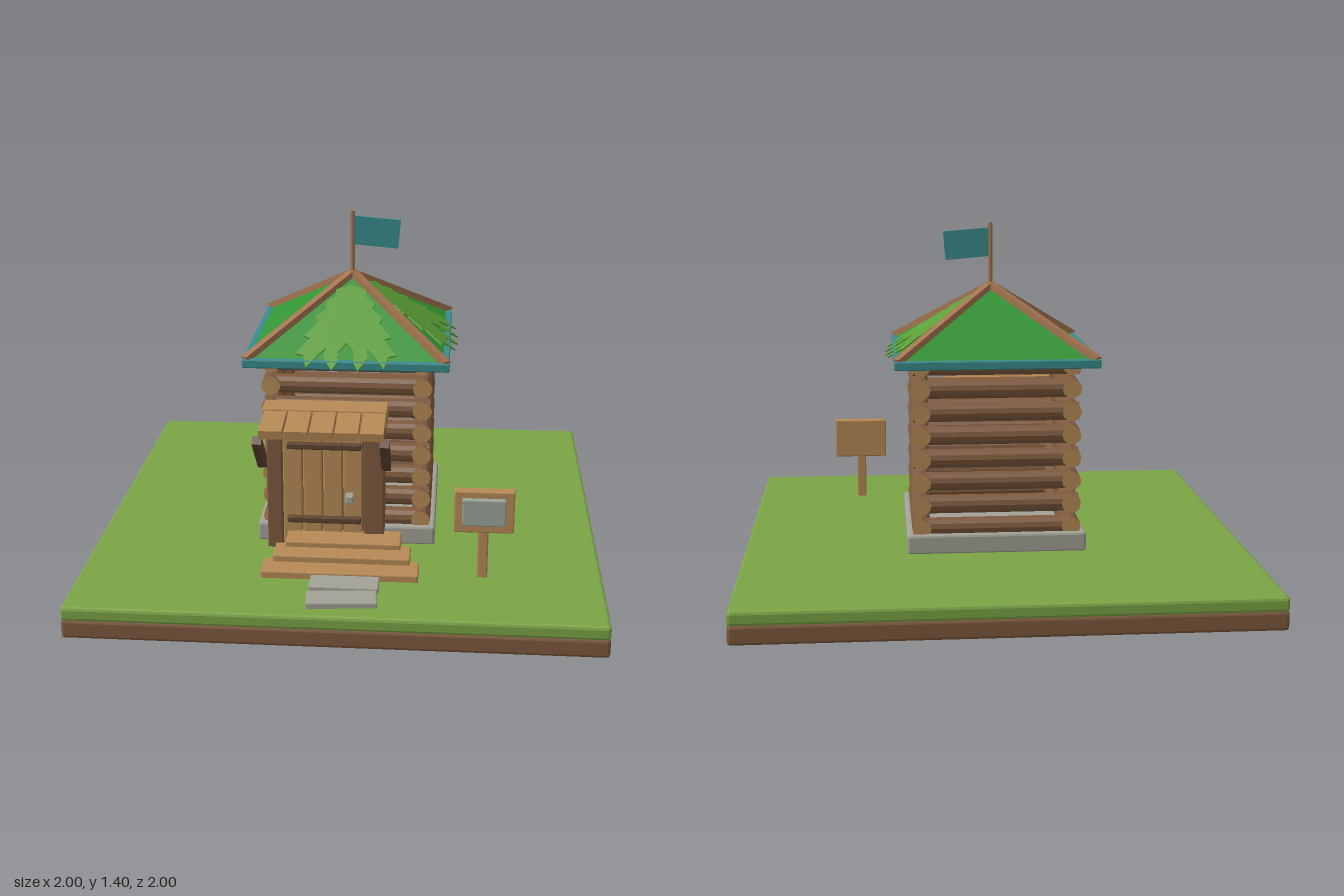
import * as THREE from 'three';
import { RoundedBoxGeometry } from 'three/addons/geometries/RoundedBoxGeometry.js';

const mat = (name, color, extra = {}) => Object.assign(
  new THREE.MeshStandardMaterial({ color, flatShading: true, ...extra }), { name });

export function createModel() {
  const M = {
    grass: mat('grass', 0x7ba445),
    bark: mat('bark brown', 0x7e5a3e),
    dark: mat('dark wood', 0x5f4330),
    tan: mat('tan plank', 0xb78a56),
    rafter: mat('rafter wood', 0xa37550),
    stone: mat('stone', 0xa2a196),
    roof: mat('roof green', 0x339433),
    leaf: mat('leaf green', 0x5c9f36),
    teal: mat('teal', 0x3a8c8c),
    metal: mat('pale grey', 0x9ba49a),
  };
  const model = new THREE.Group();
  model.name = 'logCabin';

  const add = (name, geo, material, parent = model) => {
    const m = new THREE.Mesh(geo, material);
    m.name = name;
    parent.add(m);
    return m;
  };
  const group = (name) => {
    const g = new THREE.Group();
    g.name = name;
    model.add(g);
    return g;
  };
  // Lightly bevelled box given by its min and max on each axis
  const box = (name, material, [x0, x1], [y0, y1], [z0, z1], parent, bevel = 0.005) => {
    const r = Math.min(bevel, (x1 - x0) / 4, (y1 - y0) / 4, (z1 - z0) / 4);
    const m = add(name, new RoundedBoxGeometry(x1 - x0, y1 - y0, z1 - z0, 1, r), material, parent);
    m.position.set((x0 + x1) / 2, (y0 + y1) / 2, (z0 + z1) / 2);
    return m;
  };
  // Square beam between two points
  const beam = (name, material, a, b, w, h, parent) => {
    const A = new THREE.Vector3(...a), B = new THREE.Vector3(...b);
    const m = add(name, new THREE.BoxGeometry(w, h, A.distanceTo(B)), material, parent);
    m.position.copy(A).lerp(B, 0.5);
    m.lookAt(B);
    return m;
  };

  // Ground
  box('earthSlab', M.bark, [-1, 1], [0, 0.075], [-1, 1], model, 0.012);
  box('grassSlab', M.grass, [-1, 1], [0.07, 0.125], [-1, 1], model, 0.012);
  box('foundation', M.stone, [-0.355, 0.355], [0.12, 0.2], [-0.355, 0.355], model, 0.01);

  // Log walls: pale cut ends, corners interlocking on alternate rows
  const walls = group('logWalls');
  const log = (length, alongX, x, y, z) => {
    const geo = new THREE.CylinderGeometry(0.038, 0.038, length, 12);
    if (alongX) geo.rotateZ(Math.PI / 2); else geo.rotateX(Math.PI / 2);
    add('log', geo, [M.bark, M.tan, M.tan], walls).position.set(x, y, z);
  };
  for (let i = 0; i < 8; i++) {
    const y = 0.22 + i * 0.0925;
    for (const s of [-1, 1]) {
      log(0.67, false, s * 0.297, y, 0);
      log(i % 2 ? 0.654 : 0.56, true, 0, y, s * 0.297);
    }
  }

  // Pyramid roof, eaves and hip rafters
  const roof = group('roof');
  const R = 0.385, eaveY = 0.893, rise = 0.255, apexY = eaveY + rise;
  const pyramid = new THREE.ConeGeometry(R * Math.SQRT2, rise, 4);
  pyramid.rotateY(Math.PI / 4);
  add('roofSlopes', pyramid, M.roof, roof).position.y = eaveY + rise / 2;
  for (const s of [-1, 1]) {
    const edge = s > 0 ? [0.37, 0.4] : [-0.4, -0.37];
    box('eave', M.teal, [-0.4, 0.4], [0.865, 0.9], edge, roof);
    box('eave', M.teal, edge, [0.865, 0.9], [-0.4, 0.4], roof);
    for (const t of [-1, 1]) {
      beam('hipRafter', M.rafter, [s * 0.388, eaveY + 0.004, t * 0.388], [0, apexY + 0.005, 0], 0.03, 0.026, roof);
    }
  }

  // Jagged leaves lying on the front and left slopes
  const slope = Math.atan2(rise, R);
  const half = [[0, 0.06], [0.06, 0.08], [0.06, 0.11], [0.1, 0.14], [0.09, 0.165], [0.135, 0.205],
    [0.12, 0.225], [0.17, 0.285], [0.145, 0.295], [0.195, 0.36], [0.165, 0.365], [0.15, 0.415],
    [0.105, 0.36], [0.08, 0.335], [0.085, 0.375], [0.05, 0.425], [0.03, 0.39], [0.03, 0.35], [0, 0.31]];
  const outline = [...half, ...half.slice(1, -1).reverse().map(([x, h]) => [-x, h])]
    .map(([x, h]) => new THREE.Vector2(x, -h / Math.cos(slope)));
  for (const turn of [0, Math.PI / 2]) {
    const geo = new THREE.ExtrudeGeometry(new THREE.Shape(outline), { depth: 0.006, bevelEnabled: false });
    geo.translate(0, 0, 0.005);
    geo.rotateX(slope - Math.PI / 2);
    geo.rotateY(turn);
    add('roofLeaf', geo, M.leaf, roof).position.y = apexY;
  }

  // Flag on the peak
  const flag = group('flag');
  add('flagPole', new THREE.CylinderGeometry(0.009, 0.009, 0.27, 8), M.rafter, flag).position.y = 1.27;
  const cloth = new THREE.Shape([[0.005, 1.27], [0.182, 1.255], [0.192, 1.37], [0.005, 1.385]]
    .map((p) => new THREE.Vector2(...p)));
  const clothGeo = new THREE.ExtrudeGeometry(cloth, { depth: 0.012, bevelEnabled: false });
  add('flagCloth', clothGeo.translate(0, 0, -0.006), M.teal, flag);

  // Door with frame, straps and handle
  const door = group('door');
  box('doorPost', M.bark, [-0.305, -0.245], [0.13, 0.65], [0.32, 0.435], door);
  box('doorPost', M.bark, [0.075, 0.155], [0.13, 0.65], [0.32, 0.435], door);
  for (let i = 0; i < 4; i++) {
    const x = -0.243 + i * 0.079;
    box('doorPlank', M.tan, [x, x + 0.075], [0.15, 0.645], [0.35, 0.425], door);
  }
  box('doorBack', M.dark, [-0.25, 0.08], [0.15, 0.645], [0.33, 0.4], door);
  for (const y of [0.255, 0.565]) {
    box('doorStrap', M.dark, [-0.225, 0.065], [y - 0.013, y + 0.013], [0.42, 0.445], door);
  }
  box('doorHandle', M.metal, [0.005, 0.037], [0.338, 0.37], [0.42, 0.465], door);

  // Plank canopy on slanting braces
  const canopy = group('canopy');
  box('canopyBeam', M.tan, [-0.32, 0.165], [0.645, 0.715], [0.32, 0.435], canopy);
  for (let i = 0; i < 5; i++) {
    const x = -0.268 + i * 0.096;
    beam('canopyPlank', M.tan, [x, 0.7, 0.36], [x, 0.668, 0.6], 0.088, 0.034, canopy);
  }
  for (const x of [-0.323, 0.163]) {
    beam('canopyBrace', M.dark, [x, 0.48, 0.415], [x, 0.635, 0.57], 0.036, 0.036, canopy);
  }

  // Steps and stepping stones
  const path = group('entrancePath');
  box('topStep', M.tan, [-0.225, 0.225], [0.155, 0.2], [0.4, 0.53], path);
  box('middleStep', M.tan, [-0.265, 0.265], [0.135, 0.178], [0.49, 0.612], path);
  box('bottomStep', M.tan, [-0.3, 0.3], [0.12, 0.153], [0.575, 0.7], path);
  box('steppingStone', M.stone, [-0.107, 0.155], [0.12, 0.147], [0.7, 0.803], path);
  box('steppingStone', M.stone, [-0.107, 0.155], [0.12, 0.147], [0.823, 0.928], path).rotation.y = 0.08;

  // Notice board
  const sign = group('signBoard');
  box('signPost', M.tan, [0.522, 0.562], [0.12, 0.33], [0.597, 0.633], sign);
  box('signFrame', M.tan, [0.43, 0.657], [0.31, 0.478], [0.593, 0.636], sign);
  box('signPanel', M.metal, [0.46, 0.625], [0.345, 0.452], [0.63, 0.656], sign);

  return model;
}
